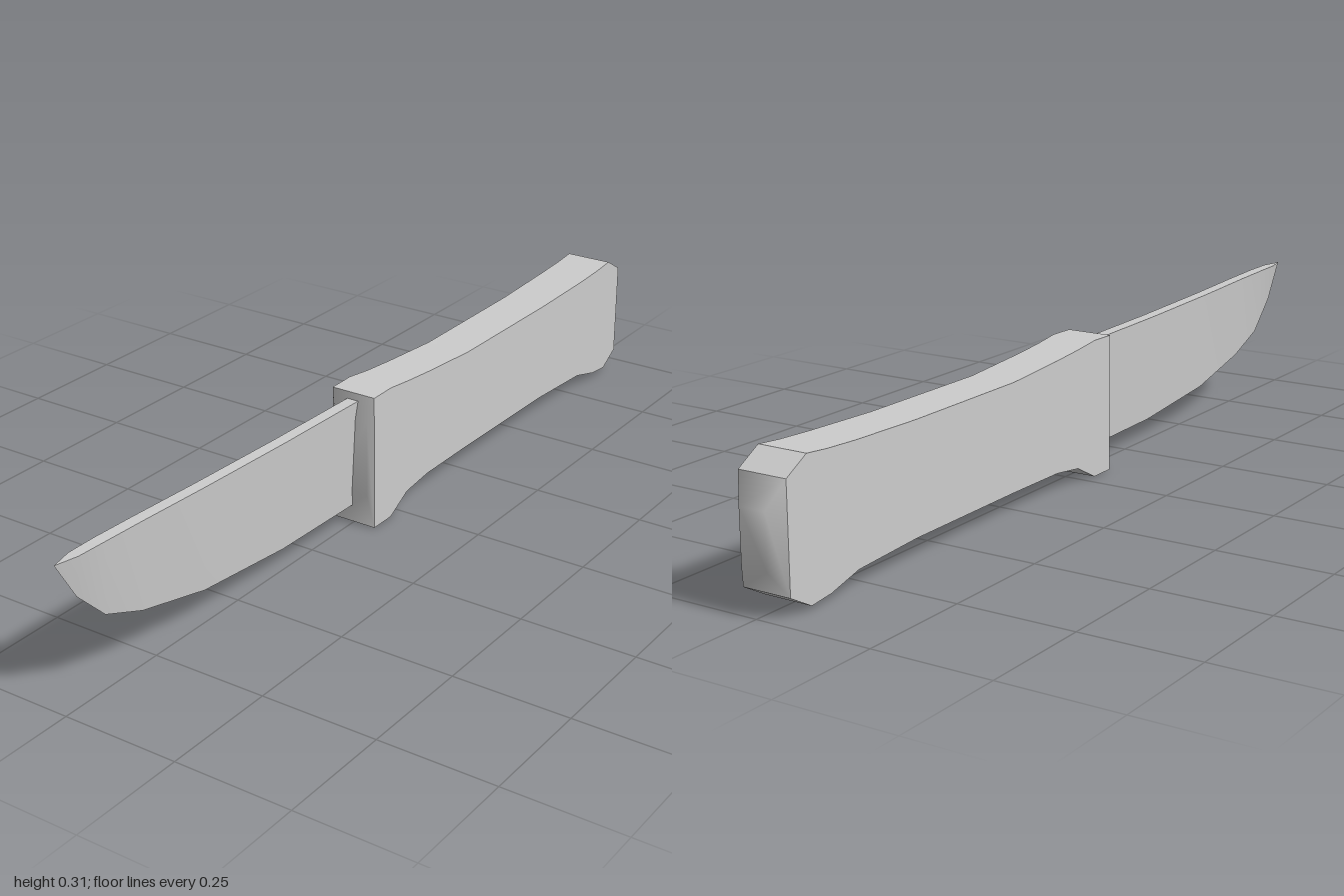
import * as THREE from 'three';
import { toCreasedNormals } from 'three/addons/utils/BufferGeometryUtils.js';

// Skins a row of equal-length rings, ordered from +z to -z; each ring is counter-clockwise seen from +z.
function loft(rings, crease, capFront, capBack) {
  const pos = [];
  const n = rings[0].length;
  const tri = (a, b, c) => {
    if (new THREE.Triangle(a, b, c).getArea() < 1e-8) return;
    for (const p of [a, b, c]) pos.push(p.x, p.y, p.z);
  };
  for (let i = 0; i < rings.length - 1; i++) {
    for (let k = 0; k < n; k++) {
      const j = (k + 1) % n;
      const a = rings[i][k], b = rings[i][j], c = rings[i + 1][k], d = rings[i + 1][j];
      tri(a, c, b);
      tri(b, c, d);
    }
  }
  const first = rings[0], last = rings[rings.length - 1];
  for (let k = 1; k < n - 1; k++) {
    if (capFront) tri(first[0], first[k], first[k + 1]);
    if (capBack) tri(last[0], last[k + 1], last[k]);
  }
  const geometry = new THREE.BufferGeometry();
  geometry.setAttribute('position', new THREE.Float32BufferAttribute(pos, 3));
  return toCreasedNormals(geometry, crease);
}

const V = (x, y, z) => new THREE.Vector3(x, y, z);
// Cross-sections given as [z, bottom, top, half width]
const boxRing = ([z, b, t, w]) => [V(-w, b, z), V(w, b, z), V(w, t, z), V(-w, t, z)];
const wedgeRing = ([z, b, t, w]) => [V(0, b, z), V(w, t, z), V(-w, t, z)];

export function createModel() {
  const group = new THREE.Group();
  const grey = new THREE.MeshStandardMaterial({ color: 0xcccccc });
  grey.name = 'grey';
  const add = (name, geometry) => {
    const mesh = new THREE.Mesh(geometry, grey);
    mesh.name = name;
    group.add(mesh);
  };

  // Blade: wedge section, thick spine, sharp lower edge sweeping up to the tip
  add('blade', loft([
    [1.0, 0.31, 0.31, 0],
    [0.95, 0.225, 0.31, 0.012],
    [0.88, 0.155, 0.309, 0.0135],
    [0.78, 0.115, 0.306, 0.0135],
    [0.6, 0.073, 0.299, 0.0135],
    [0.35, 0.05, 0.292, 0.0135],
    [0.09, 0.045, 0.288, 0.0135],
  ].map(wedgeRing), 0.5, false, true));

  // Handle: flat sides, waisted grip, flared guard and butt
  const front = [0.097, 0.003, 0.303, 0.052];
  const back = [-0.97, 0.043, 0.26, 0.054];
  add('handle', loft([
    front,
    [0.035, 0.003, 0.304, 0.052],
    [-0.03, 0.037, 0.296, 0.051],
    [-0.11, 0.047, 0.289, 0.051],
    [-0.27, 0.048, 0.278, 0.051],
    [-0.6, 0.047, 0.278, 0.0525],
    [-0.78, 0.039, 0.283, 0.0545],
    [-0.86, 0.018, 0.287, 0.0545],
    [-0.915, 0.012, 0.292, 0.0545],
    back,
  ].map(boxRing), 0.5, false, false));

  // Slightly raised front face around the blade
  add('guardFace', loft([[0.107, 0.08, 0.25, 0.04], front].map(boxRing), 1, true, false));

  // Rounded butt at the back end
  add('butt', loft([back, [-1, 0.095, 0.205, 0.029]].map(boxRing), 1.1, false, true));

  return group;
}
